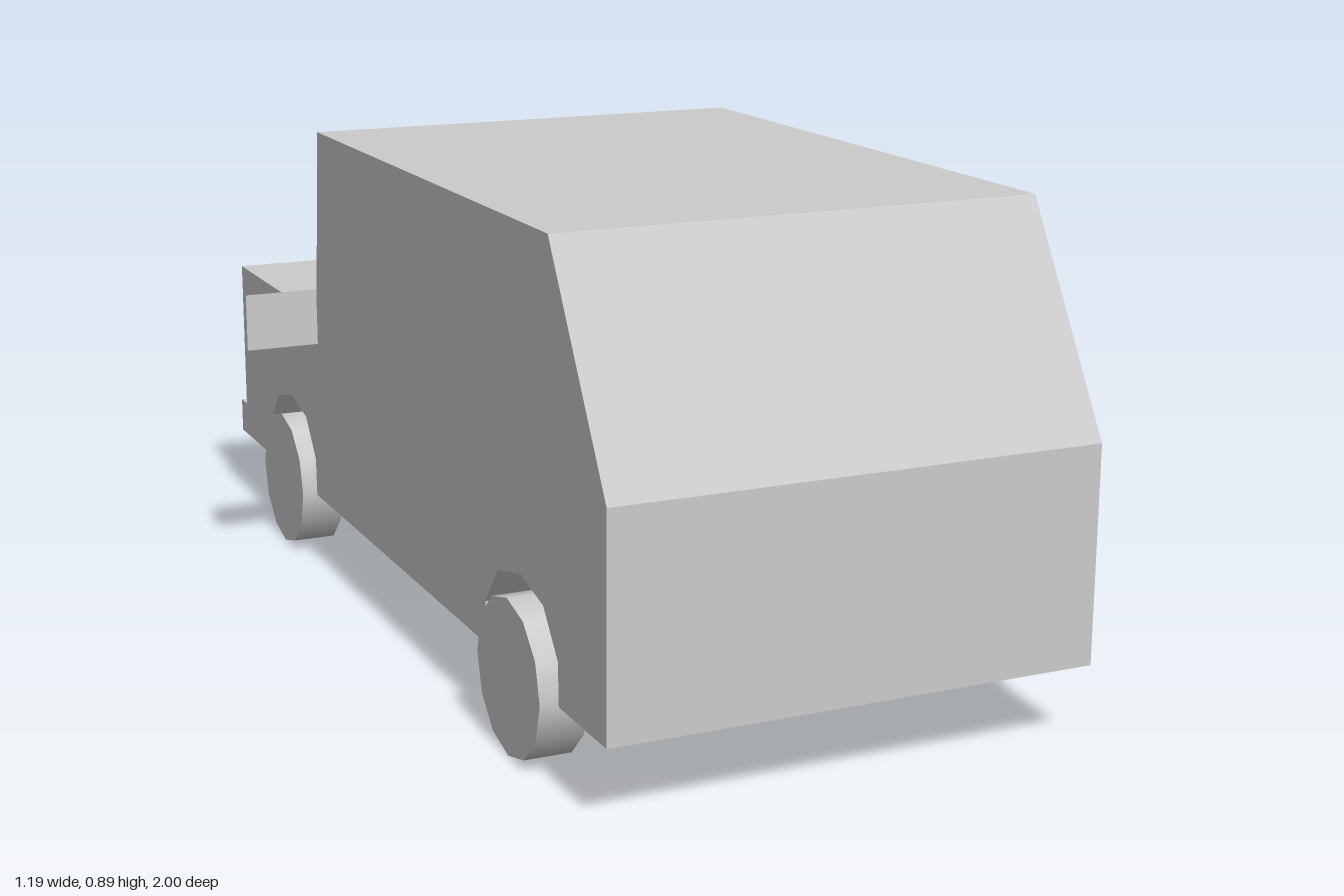
import * as THREE from 'three';

const material = new THREE.MeshStandardMaterial({ color: 0xcccccc });
const HALF = 0.437, WELL = 0.33;      // half width of body, inner wall of wheel wells
const FLOOR = 0.14, AXLE_Y = 0.137;
const AXLES = { front: 0.655, rear: -0.608 };

// Side outline as [z, y], from the front floor edge over the roof to the rear
const OUTLINE = [
  [1, FLOOR], [1, 0.52], [0.78, 0.892], [-0.378, 0.892], [-0.418, 0.52],
  [-0.96, 0.52], [-0.96, 0.21], [-1, 0.21], [-1, FLOOR],
];
// Wheel arch as [z offset, y], rear to front
const ARCH = [
  [-0.16, FLOOR], [-0.157, 0.215], [-0.098, 0.289], [0, 0.312],
  [0.098, 0.289], [0.157, 0.215], [0.16, FLOOR],
];

function add(parent, name, geometry, x = 0, y = 0, z = 0) {
  const mesh = new THREE.Mesh(geometry, material);
  mesh.name = name;
  mesh.position.set(x, y, z);
  parent.add(mesh);
  return mesh;
}

// Extrude a [z, y] outline across the car between x0 and x1
function slab(points, x0, x1) {
  const shape = new THREE.Shape(points.map(([z, y]) => new THREE.Vector2(z, y)));
  const geometry = new THREE.ExtrudeGeometry(shape, { depth: x1 - x0, bevelEnabled: false });
  return geometry.rotateY(-Math.PI / 2).translate(x1, 0, 0);
}

// Mirror housing: a box that tapers towards the rear
function mirrorHousing() {
  const geometry = new THREE.BoxGeometry(0.142, 0.11, 0.045);
  const p = geometry.attributes.position;
  for (let i = 0; i < p.count; i++) {
    if (p.getZ(i) < 0) p.setXY(i, p.getX(i) * 0.77, p.getY(i) * 0.74);
  }
  geometry.computeVertexNormals();
  return geometry;
}

export function createModel() {
  const car = new THREE.Group();
  car.name = 'car';

  // Body: full core, plus outer slabs notched by the wheel arches
  const body = new THREE.Group();
  body.name = 'body';
  car.add(body);
  add(body, 'bodyCore', slab(OUTLINE, -WELL, WELL));
  const notched = [...OUTLINE];
  for (const axleZ of [AXLES.rear, AXLES.front]) {
    notched.push(...ARCH.map(([z, y]) => [z + axleZ, y]));
  }
  add(body, 'leftSide', slab(notched, WELL, HALF));
  add(body, 'rightSide', slab(notched, -HALF, -WELL));

  // Axles and wheels
  const wheel = new THREE.CylinderGeometry(0.137, 0.137, 0.084, 12).rotateZ(Math.PI / 2);
  const axle = new THREE.CylinderGeometry(0.038, 0.038, 0.76, 4).rotateZ(Math.PI / 2);
  for (const [end, z] of Object.entries(AXLES)) {
    add(car, end + 'Axle', axle.toNonIndexed(), 0, AXLE_Y, z).geometry.computeVertexNormals();
    add(car, end + 'LeftWheel', wheel, 0.418, AXLE_Y, z);
    add(car, end + 'RightWheel', wheel, -0.418, AXLE_Y, z);
  }

  // Side mirrors
  const housing = mirrorHousing();
  add(car, 'leftMirror', housing, 0.521, 0.53, -0.388);
  add(car, 'rightMirror', housing, -0.523, 0.53, -0.388);

  return car;
}
